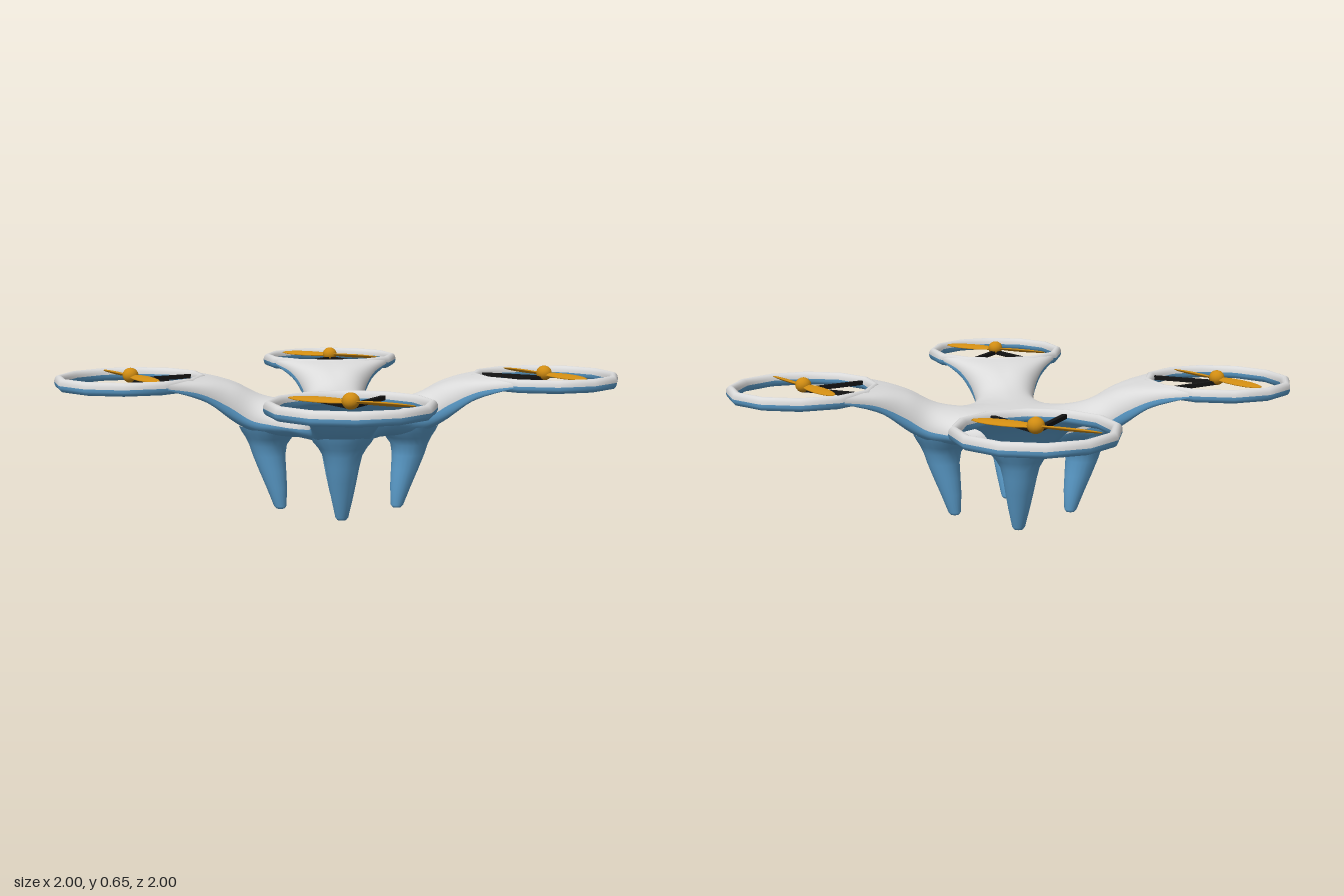
import * as THREE from 'three';
import { mergeGeometries, mergeVertices } from 'three/addons/utils/BufferGeometryUtils.js';

const V = (x, y, z) => new THREE.Vector3(x, y, z);
const material = (name, color) => {
  const m = new THREE.MeshStandardMaterial({ color });
  m.name = name;
  return m;
};
const C = 0.667; // ring centre in x and z
const RING = 0.311 / Math.cos(Math.PI / 12); // corner radius of the twelve-sided ring
const RING_Y = 0.593;

// Mirror a geometry into another quadrant, keeping faces outward
function mirrored(geometry, sx, sz) {
  const g = geometry.clone().scale(sx, 1, sz);
  if (sx * sz < 0) {
    const a = g.index.array;
    for (let i = 0; i < a.length; i += 3) [a[i], a[i + 1]] = [a[i + 1], a[i]];
  }
  return g;
}

// Stations from the body centre out to the ring: rim edge (x, y, z)
const rim = new THREE.CatmullRomCurve3([
  V(0, 0.428, 0.335), V(0.1, 0.428, 0.34), V(0.18, 0.44, 0.38),
  V(0.24, 0.5, 0.46), V(0.29, 0.56, 0.58), V(0.342, RING_Y, 0.755),
]);
// Middle line: (distance along both axes, top height, underside height)
const middle = new THREE.CatmullRomCurve3([
  V(0, 0.5, 0.345), V(0.14, 0.502, 0.348), V(0.24, 0.525, 0.36),
  V(0.33, 0.58, 0.41), V(0.39, 0.605, 0.5), V(0.439, 0.618, 0.57),
]);

// One quarter of the body shell, either its top or its underside
function shellQuarter(top) {
  const nu = 24, nt = 28, pos = [], index = [];
  const ringEnd = V(0.356, 0, 0.75), m5 = 0.439;
  for (let i = 0; i <= nu; i++) {
    const u = i / nu, e = rim.getPoint(u), m = middle.getPoint(u), w = u * u;
    for (let j = 0; j <= nt; j++) {
      const t = Math.sin((j / nt - 0.5) * Math.PI), k = Math.abs(t);
      const a = THREE.MathUtils.degToRad(225 + 60 * t);
      const near = t < 0 ? [e.x, e.z] : [e.z, e.x];
      const end = t < 0 ? [ringEnd.x, ringEnd.z] : [ringEnd.z, ringEnd.x];
      const arc = [C + RING * Math.cos(a), C + RING * Math.sin(a)];
      const p = [0, 1].map(c =>
        m.x + (near[c] - m.x) * k + w * (arc[c] - m5 - (end[c] - m5) * k));
      const edgeY = e.y - (t > 0 ? 0.02 * t * t * (1 - u) : 0);
      const round = Math.sqrt(Math.max(0, 1 - Math.pow(k, top ? 2.6 : 4)));
      pos.push(p[0], edgeY + ((top ? m.y : m.z) - edgeY) * round, p[1]);
      if (i < nu && j < nt) {
        const q = i * (nt + 1) + j, r = q + nt + 1;
        if (top) index.push(q, r, q + 1, r, r + 1, q + 1);
        else index.push(q, q + 1, r, r, q + 1, r + 1);
      }
    }
  }
  const g = new THREE.BufferGeometry();
  g.setAttribute('position', new THREE.Float32BufferAttribute(pos, 3));
  g.setIndex(index);
  return g;
}

function shell(top) {
  const quarter = shellQuarter(top), parts = [];
  for (const sx of [1, -1]) for (const sz of [1, -1]) parts.push(mirrored(quarter, sx, sz));
  const g = mergeVertices(mergeGeometries(parts), 1e-4);
  g.computeVertexNormals();
  return g;
}

// Upper or lower half of the ring tube
function ringHalf(start) {
  const pts = [];
  for (let i = 0; i <= 8; i++) {
    const a = start + (i / 8) * Math.PI;
    pts.push(new THREE.Vector2(RING + 0.022 * Math.cos(a), 0.03 * Math.sin(a)));
  }
  return new THREE.LatheGeometry(pts, 12, Math.PI / 12).translate(C, RING_Y, C);
}

// Tapered leg leaning outward, flaring into the underside
function legGeometry() {
  const rows = [ // height, radius, centre offset
    [0, 0.0001, 0.19], [0, 0.02, 0.19], [0.012, 0.029, 0.191], [0.1, 0.048, 0.202],
    [0.18, 0.063, 0.215], [0.25, 0.075, 0.226], [0.3, 0.087, 0.229],
    [0.335, 0.108, 0.226], [0.36, 0.13, 0.222], [0.39, 0.145, 0.222],
  ];
  const g = new THREE.LatheGeometry(rows.map(r => new THREE.Vector2(r[1], r[0])), 20);
  const p = g.attributes.position;
  for (let i = 0; i < p.count; i++) {
    const c = rows[i % rows.length][2];
    p.setX(i, p.getX(i) + c);
    p.setZ(i, p.getZ(i) + c);
  }
  const n = g.attributes.normal.clone();
  g.computeVertexNormals();
  // keep the round seam smooth
  const last = p.count - rows.length;
  for (let i = 0; i < rows.length; i++) for (const j of [i, last + i])
    g.attributes.normal.setXYZ(j, n.getX(i), n.getY(i), n.getZ(i));
  return g;
}

// Two tapered blades, pitched in opposite directions
function bladeGeometry() {
  const parts = [1, -1].map(s => {
    const g = new THREE.SphereGeometry(1, 14, 10);
    g.scale(0.027, 0.007, 0.147);
    g.rotateZ(s * 0.3);
    return g.translate(0, 0, s * 0.138);
  });
  return mergeGeometries(parts).rotateY(-0.245).translate(C, 0.617, C);
}

// Thin strut from the motor to the ring
function strutGeometry(x, z) {
  const dx = x - C, dz = z - C;
  return new THREE.BoxGeometry(0.022, 0.018, Math.hypot(dx, dz))
    .rotateY(Math.atan2(dx, dz))
    .translate(C + dx / 2, 0.598, C + dz / 2);
}

export function createModel() {
  const white = material('shell white', 0xdadada);
  const blue = material('underside blue', 0x5fa3d3);
  const amber = material('rotor amber', 0xd08c12);
  const black = material('strut black', 0x141414);

  const model = new THREE.Group();
  model.name = 'quadcopter';
  const add = (parent, name, geometry, mat) => {
    const mesh = new THREE.Mesh(geometry, mat);
    mesh.name = name;
    parent.add(mesh);
  };

  add(model, 'bodyTop', shell(true), white);
  add(model, 'bodyUnderside', shell(false), blue);

  // Parts repeated in each quadrant
  const hub = new THREE.SphereGeometry(0.036, 16, 12).scale(1, 0.95, 1).translate(C, 0.62, C);
  const parts = [
    ['ringTop', ringHalf(0), white],
    ['ringUnderside', ringHalf(Math.PI), blue],
    ['leg', legGeometry(), blue],
    ['rotorBlades', bladeGeometry(), amber],
    ['rotorHub', hub, amber],
    ['innerStrut', strutGeometry(0.37, 0.585), black],
    ['outerStrut', strutGeometry(0.585, 0.37), black],
  ];
  for (const sx of [1, -1]) for (const sz of [1, -1]) {
    const arm = new THREE.Group();
    arm.name = (sz > 0 ? 'front' : 'back') + (sx > 0 ? 'Left' : 'Right') + 'Arm';
    for (const [name, geometry, mat] of parts) add(arm, name, mirrored(geometry, sx, sz), mat);
    model.add(arm);
  }
  return model;
}
